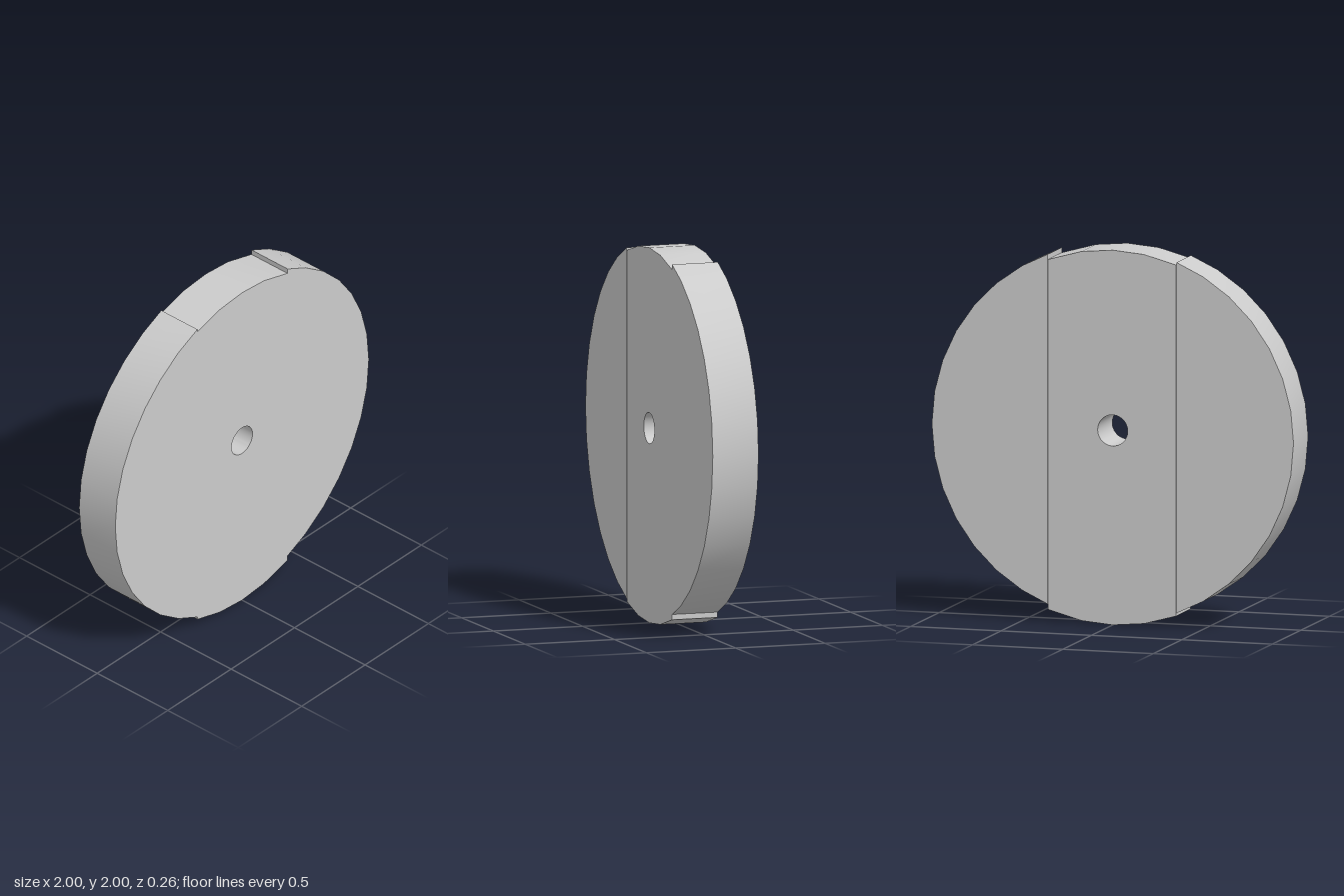
import * as THREE from 'three';
import { toCreasedNormals } from 'three/addons/utils/BufferGeometryUtils.js';

const RADIUS = 1;
const THICKNESS = 0.256;
const STEP = Math.PI / 18; // 36-sided rim

// Points along the rim from one angle to another, keeping the 36-sided corners
function arc(from, to, cy) {
  const angles = [from];
  for (let i = Math.floor(from / STEP + 0.1) + 1; i * STEP < to - 0.02; i++) angles.push(i * STEP);
  angles.push(to);
  return angles.map(a => new THREE.Vector2(RADIUS * Math.cos(a), cy + RADIUS * Math.sin(a)));
}

// One board of the disc, with smooth rim and sharp edges
function board(name, points, hole) {
  const shape = new THREE.Shape(points);
  if (hole) shape.holes.push(hole);
  const geometry = new THREE.ExtrudeGeometry(shape, { depth: THICKNESS, bevelEnabled: false, curveSegments: 24 });
  geometry.translate(0, 0, -THICKNESS / 2);
  const mesh = new THREE.Mesh(toCreasedNormals(geometry, 0.5), new THREE.MeshStandardMaterial({ color: 0xcccccc }));
  mesh.name = name;
  return mesh;
}

export function createModel() {
  const group = new THREE.Group();
  group.name = 'plankDisc';

  // Cut angles where the vertical seams meet the rim
  const seamLeft = Math.acos(0.36);
  const seamRight = Math.acos(-0.352);
  const midLeft = Math.acos(0.358);
  const midRight = Math.acos(-0.35);

  // Side boards sit slightly higher than the middle one
  group.add(board('leftBoard', arc(-seamLeft, seamLeft, 1.028)));
  group.add(board('rightBoard', arc(seamRight, 2 * Math.PI - seamRight, 1.015)));

  // Middle board with the axle hole
  const axleHole = new THREE.Path().absarc(0, 1.038, 0.083, 0, Math.PI * 2, true);
  const middle = [
    ...arc(midLeft, midRight, 1),
    ...arc(2 * Math.PI - midRight, 2 * Math.PI - midLeft, 1),
  ];
  group.add(board('middleBoard', middle, axleHole));

  return group;
}
